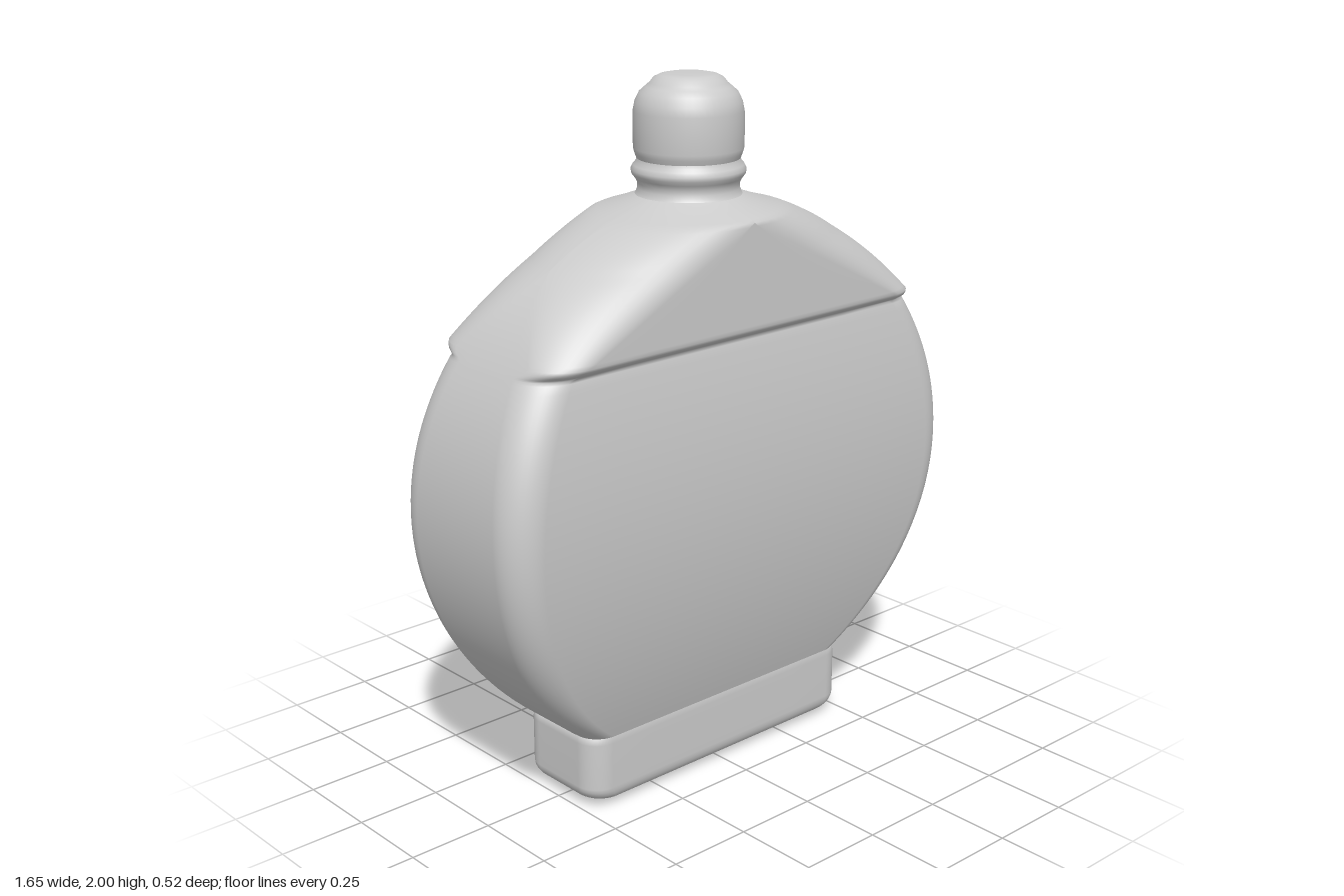
import * as THREE from 'three';

const material = new THREE.MeshStandardMaterial({ color: 0xcccccc });
const CORNER = 12, EDGE = 6;

// Rounded-rectangle ring: half-width w, half-depth d, elliptical corners rx by rz
function ring({ y, w, d, rx, rz }) {
  const points = [];
  for (let q = 0; q < 4; q++) {
    const sx = q === 0 || q === 3 ? 1 : -1, sz = q < 2 ? 1 : -1;
    for (let i = 0; i <= CORNER; i++) {
      const a = (q + i / CORNER) * Math.PI / 2;
      points.push([sx * (w - rx) + rx * Math.cos(a), y, sz * (d - rz) + rz * Math.sin(a)]);
    }
  }
  // Subdivide the straight edges between corners
  const out = [];
  points.forEach((p, i) => {
    out.push(p);
    if (i % (CORNER + 1) !== CORNER) return;
    const n = points[(i + 1) % points.length];
    for (let k = 1; k < EDGE; k++) out.push(p.map((v, c) => v + (n[c] - v) * k / EDGE));
  });
  return out;
}

// Skin rings from bottom to top
function loft(rows) {
  const rings = rows.map(ring), n = rings[0].length, index = [];
  for (let i = 0; i < rings.length - 1; i++) {
    for (let j = 0; j < n; j++) {
      const a = i * n + j, b = i * n + (j + 1) % n;
      index.push(a, a + n, b, b, a + n, b + n);
    }
  }
  const g = new THREE.BufferGeometry();
  g.setAttribute('position', new THREE.Float32BufferAttribute(rings.flat(2), 3));
  g.setIndex(index);
  g.computeVertexNormals();
  return g;
}

function addMesh(group, name, geometry) {
  const mesh = new THREE.Mesh(geometry, material);
  mesh.name = name;
  group.add(mesh);
}

const discWidth = (y) => Math.sqrt(0.824 ** 2 - (y - 0.88) ** 2);
const bellyDepth = (y) => 0.262 - 0.231 * (y - 0.9) ** 2;

export function createModel() {
  const model = new THREE.Group();

  // Foot with rounded lower edge and a shallow pointed underside
  const foot = [
    { y: 0, w: 0, d: 0, rx: 0, rz: 0 },
    { y: 0.015, w: 0.42, d: 0.11, rx: 0.06, rz: 0.06 },
  ];
  for (let i = 0; i <= 6; i++) {
    const a = i / 6 * Math.PI / 2, inset = 0.045 * (1 - Math.sin(a));
    foot.push({ y: 0.063 - 0.045 * Math.cos(a), w: 0.498 - inset, d: 0.157 - inset * 0.6, rx: 0.07, rz: 0.07 });
  }
  foot.push(
    { y: 0.2, w: 0.498, d: 0.157, rx: 0.07, rz: 0.07 },
    { y: 0.218, w: 0.495, d: 0.155, rx: 0.07, rz: 0.07 },
    { y: 0.235, w: 0.48, d: 0.15, rx: 0.07, rz: 0.07 },
  );
  addMesh(model, 'foot', loft(foot));

  // Round belly with bowed front and back faces
  const body = [];
  for (let i = 0; i <= 48; i++) {
    const y = 0.215 + (1.298 - 0.215) * i / 48;
    const r = 0.07 + 0.04 * i / 48;
    body.push({ y, w: discWidth(y), d: bellyDepth(y), rx: r, rz: r });
  }

  // Overhanging ledge above the groove
  for (const [y, d] of [[1.305, 0.222], [1.312, 0.232], [1.32, 0.249], [1.328, 0.258]]) {
    body.push({ y, w: discWidth(y), d, rx: 0.12, rz: 0.11 });
  }

  // Shoulder: the flat panel tapers upward while the corners become elliptical
  for (let i = 0; i <= 28; i++) {
    const t = i / 28, y = 1.336 + 0.294 * t;
    const w = discWidth(y) - 0.055 * t ** 3;
    const flat = 0.57 * (1 - t);
    body.push({ y, w, d: 0.262, rx: w - flat, rz: 0.11 + 0.152 * Math.min(1, t * 1.5) });
  }
  for (const [y, w, d] of [[1.636, 0.262, 0.25], [1.65, 0.215, 0.205], [1.665, 0.17, 0.165], [1.675, 0.145, 0.145]]) {
    body.push({ y, w, d, rx: w, rz: d });
  }
  addMesh(model, 'body', loft(body));

  // Neck with a raised collar
  const lathe = (pts) => new THREE.LatheGeometry(pts.map(([x, y]) => new THREE.Vector2(x, y)), 48);
  addMesh(model, 'neck', lathe([
    [0.16, 1.66], [0.147, 1.675], [0.141, 1.69], [0.141, 1.705], [0.148, 1.718], [0.157, 1.73],
    [0.159, 1.742], [0.153, 1.754], [0.145, 1.763], [0.142, 1.775],
  ]));

  // Stopper with stepped domed top
  addMesh(model, 'stopper', lathe([
    [0.142, 1.77], [0.148, 1.785], [0.152, 1.8], [0.153, 1.85], [0.152, 1.9], [0.147, 1.925], [0.135, 1.95],
    [0.118, 1.965], [0.106, 1.975], [0.096, 1.988], [0.08, 1.996], [0.06, 2], [0, 2],
  ]));

  return model;
}
